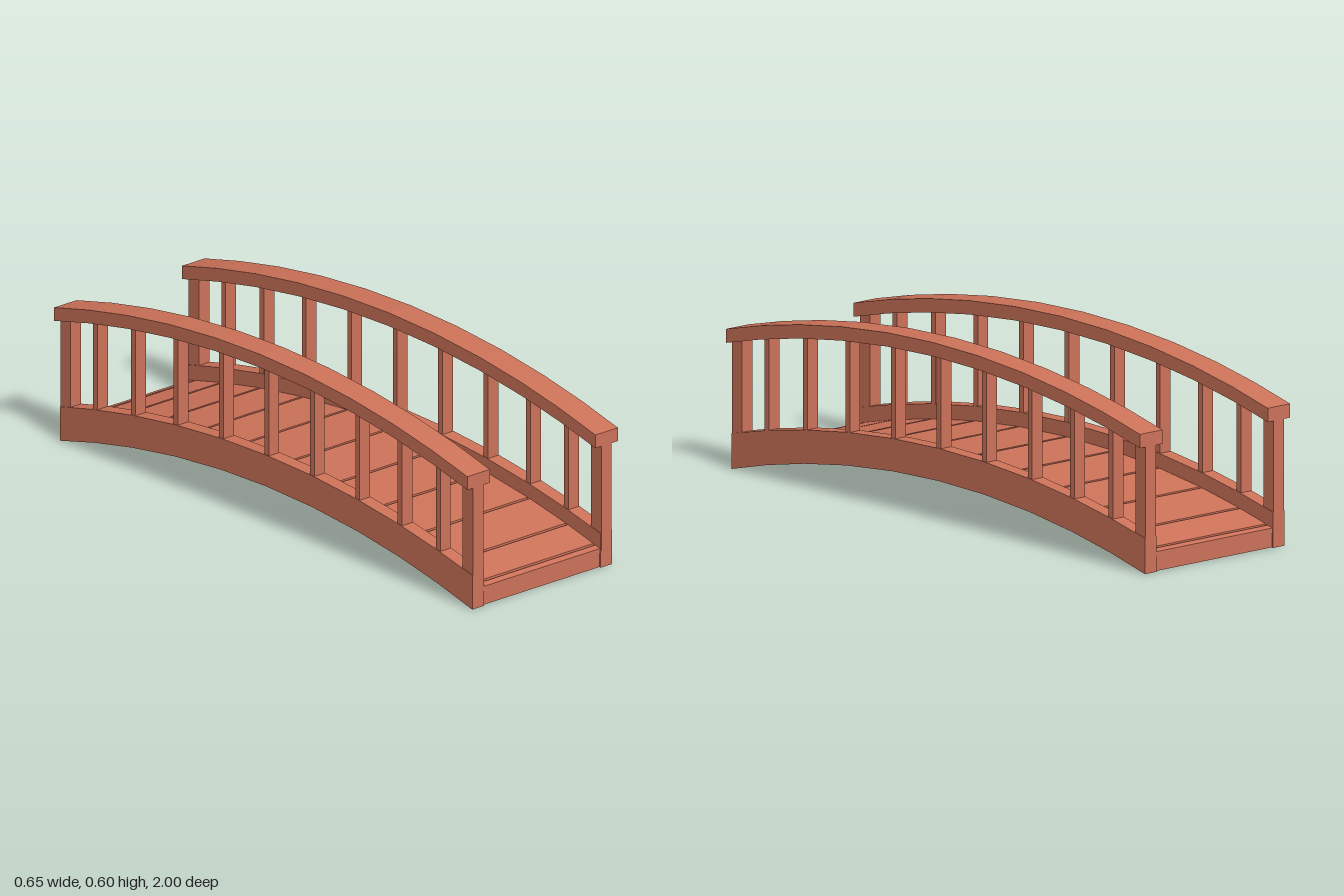
import * as THREE from 'three';

const WOOD = new THREE.MeshStandardMaterial({ color: 0xcd7259, flatShading: true });
const NODES = [0, 0.22, 0.44, 0.645, 0.83];
const R = 3.91;
const SAG = R - Math.sqrt(R * R - 1);

// Height of a shallow arch with a given crown height and fall at z = 1
const arch = (z, crown, fall = 0.13) => crown - fall * (R - Math.sqrt(R * R - z * z)) / SAG;

// Curved beam from z0 to z1 and x0 to x1, between two arches [crown, fall]
function archedBeam(name, x0, x1, z0, z1, bottom, top) {
  const inner = [...NODES.slice(1).map((z) => -z), ...NODES].filter((z) => z > z0 + 0.005 && z < z1 - 0.005);
  const zs = [z0, ...inner.sort((a, b) => a - b), z1];
  const points = zs.map((z) => new THREE.Vector2(z, arch(z, ...bottom)));
  points.push(...zs.reverse().map((z) => new THREE.Vector2(z, arch(z, ...top))));
  const geometry = new THREE.ExtrudeGeometry(new THREE.Shape(points), { depth: x1 - x0, bevelEnabled: false });
  geometry.rotateY(-Math.PI / 2).translate(x1, 0, 0);
  const mesh = new THREE.Mesh(geometry, WOOD);
  mesh.name = name;
  return mesh;
}

// Upright from y0 to y1
function upright(name, x, z, width, depth, y0, y1) {
  const mesh = new THREE.Mesh(new THREE.BoxGeometry(width, y1 - y0, depth), WOOD);
  mesh.position.set(x, (y0 + y1) / 2, z);
  mesh.name = name;
  return mesh;
}

export function createModel() {
  const bridge = new THREE.Group();
  bridge.name = 'archedFootbridge';

  // Solid curved deck base
  bridge.add(archedBeam('deckBase', -0.255, 0.255, -0.993, 0.993, [0.135, 0.135], [0.183]));

  // Deck planks separated by narrow grooves
  const joints = [-0.968, -0.835, -0.65, -0.445, -0.23, 0, 0.23, 0.445, 0.65, 0.835, 0.968];
  const edges = [-1, ...joints, 1];
  for (let i = 0; i < edges.length - 1; i++) {
    const z0 = i === 0 ? -0.995 : edges[i] + 0.005;
    const z1 = i === edges.length - 2 ? 0.995 : edges[i + 1] - 0.005;
    bridge.add(archedBeam('deckPlank', -0.253, 0.253, z0, z1, [0.178], [0.195]));
  }

  // Stringer, handrail, balusters and end posts on each side
  for (const side of [-1, 1]) {
    const railing = new THREE.Group();
    railing.name = side > 0 ? 'leftRailing' : 'rightRailing';
    const span = (a, b) => (side > 0 ? [a, b] : [-b, -a]);
    railing.add(archedBeam('stringer', ...span(0.252, 0.302), -0.998, 0.998, [0.135, 0.135], [0.243, 0.125]));
    railing.add(archedBeam('handrail', ...span(0.228, 0.325), -1, 1, [0.551], [0.597]));
    for (const z of [...NODES, ...NODES.slice(1).map((n) => -n)]) {
      railing.add(upright('baluster', side * 0.277, z, 0.045, 0.021, arch(z, 0.23), arch(z, 0.565)));
    }
    for (const z of [-0.974, 0.974]) {
      railing.add(upright('endPost', side * 0.277, z, 0.045, 0.05, 0.06, 0.44));
    }
    bridge.add(railing);
  }
  return bridge;
}
